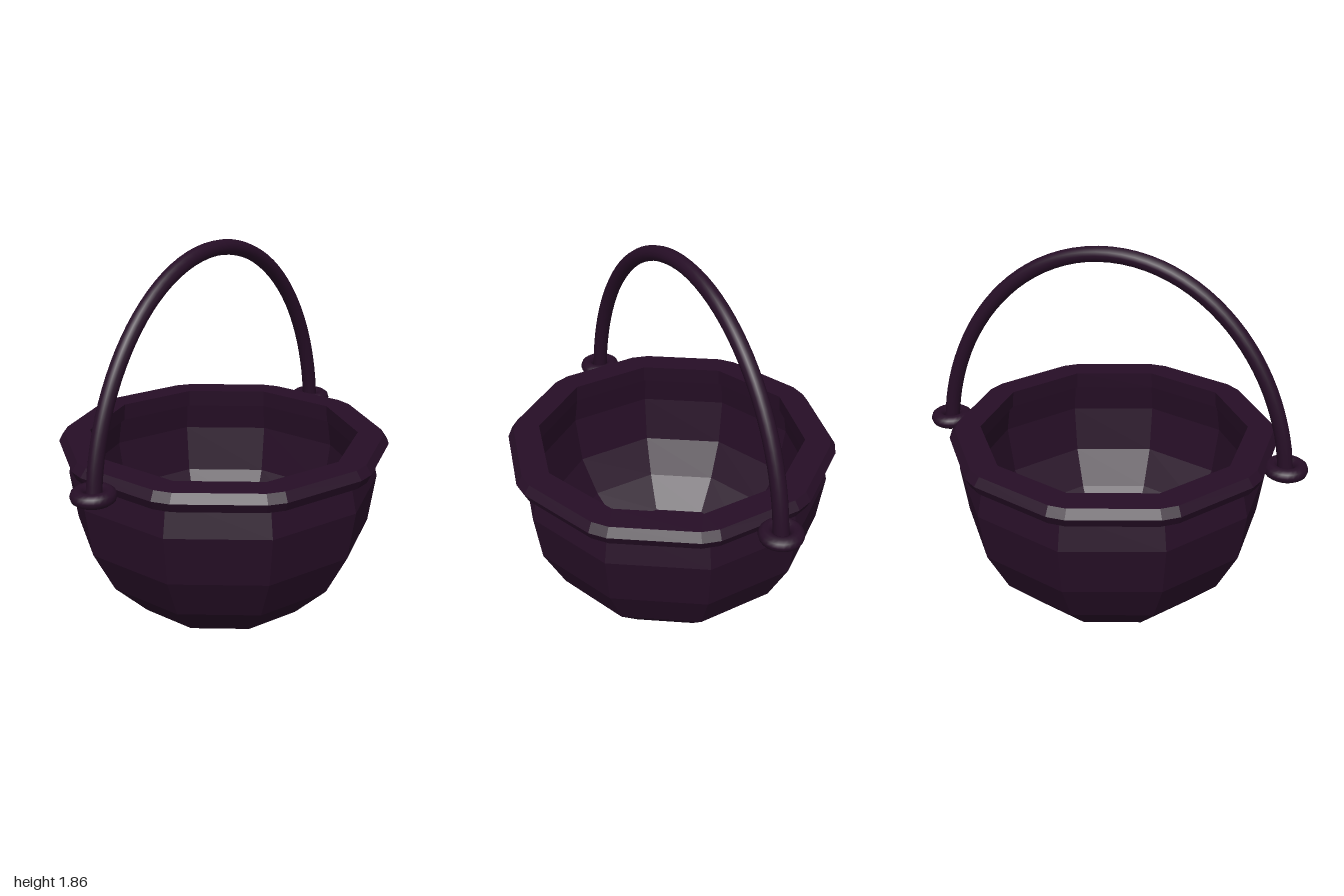
import * as THREE from 'three';
import { toCreasedNormals } from 'three/addons/utils/BufferGeometryUtils.js';

const vecs = (list) => list.map(([x, y]) => new THREE.Vector2(x, y));

// ten-sided lathe with hard facets, one corner pointing to the front
function facet(geometry) {
  const flat = geometry.toNonIndexed();
  flat.computeVertexNormals();
  return flat;
}

// rim: ten long sides whose outer corners are cut by a narrow chamfer
function rimGeometry(profile) {
  const geo = new THREE.LatheGeometry(vecs(profile), 20);
  const pos = geo.attributes.position;
  const n = profile.length;
  const chamfer = THREE.MathUtils.degToRad(3.1);
  for (let i = 0; i < pos.count; i++) {
    const column = Math.floor(i / n);
    const [r, y] = profile[i % n];
    const cut = r > 0.78 ? chamfer : 0;
    const a = Math.floor(column / 2) * Math.PI / 5 + (column % 2 ? cut : -cut);
    pos.setXYZ(i, r * Math.sin(a), y, r * Math.cos(a));
  }
  return facet(geo);
}

export function createModel() {
  const group = new THREE.Group();
  const iron = new THREE.MeshStandardMaterial({ color: 0x260e26 });
  iron.name = 'dark plum iron';
  const add = (name, geometry, x = 0, y = 0, z = 0) => {
    const mesh = new THREE.Mesh(geometry, iron);
    mesh.name = name;
    mesh.position.set(x, y, z);
    group.add(mesh);
    return mesh;
  };

  // hollow body: underside, outer wall, inner wall, floor
  const body = vecs([
    [0, 0], [0.47, 0], [0.65, 0.18], [0.762, 0.4], [0.798, 0.65], [0.757, 0.83],
    [0.7, 0.83], [0.73, 0.65], [0.69, 0.4], [0.58, 0.21], [0.43, 0.06], [0, 0.06],
  ]);
  add('potBody', facet(new THREE.LatheGeometry(body, 10)), 0.003, 0, -0.014);

  // thick rim
  add('rim', rimGeometry([
    [0.69, 0.8], [0.815, 0.8], [0.838, 0.847], [0.808, 0.89], [0.683, 0.89], [0.69, 0.8],
  ]), 0, 0, -0.004);

  // arched handle, part of an ellipse
  const handleZ = -0.056;
  const start = 0.11;
  const arc = [];
  for (let i = 0; i <= 24; i++) {
    const a = start + (Math.PI - 2 * start) * i / 24;
    arc.push(new THREE.Vector3(0.896 * Math.cos(a), 0.7 + 1.117 * Math.sin(a), 0));
  }
  const curve = new THREE.CatmullRomCurve3(arc);
  add('handle', new THREE.TubeGeometry(curve, 48, 0.038, 12), 0, 0, handleZ);

  // ring lugs and the closed handle ends inside them
  for (const [side, s] of [['left', 1], ['right', -1]]) {
    const ring = new THREE.TorusGeometry(0.073, 0.035, 10, 24).rotateX(Math.PI / 2);
    add(side + 'Lug', ring, s * 0.892, 0.833, handleZ);
    const end = new THREE.CylinderGeometry(0.037, 0.037, 0.02, 12);
    add(side + 'HandleEnd', toCreasedNormals(end, 0.8), s * 0.89, 0.824, handleZ);
  }
  return group;
}
